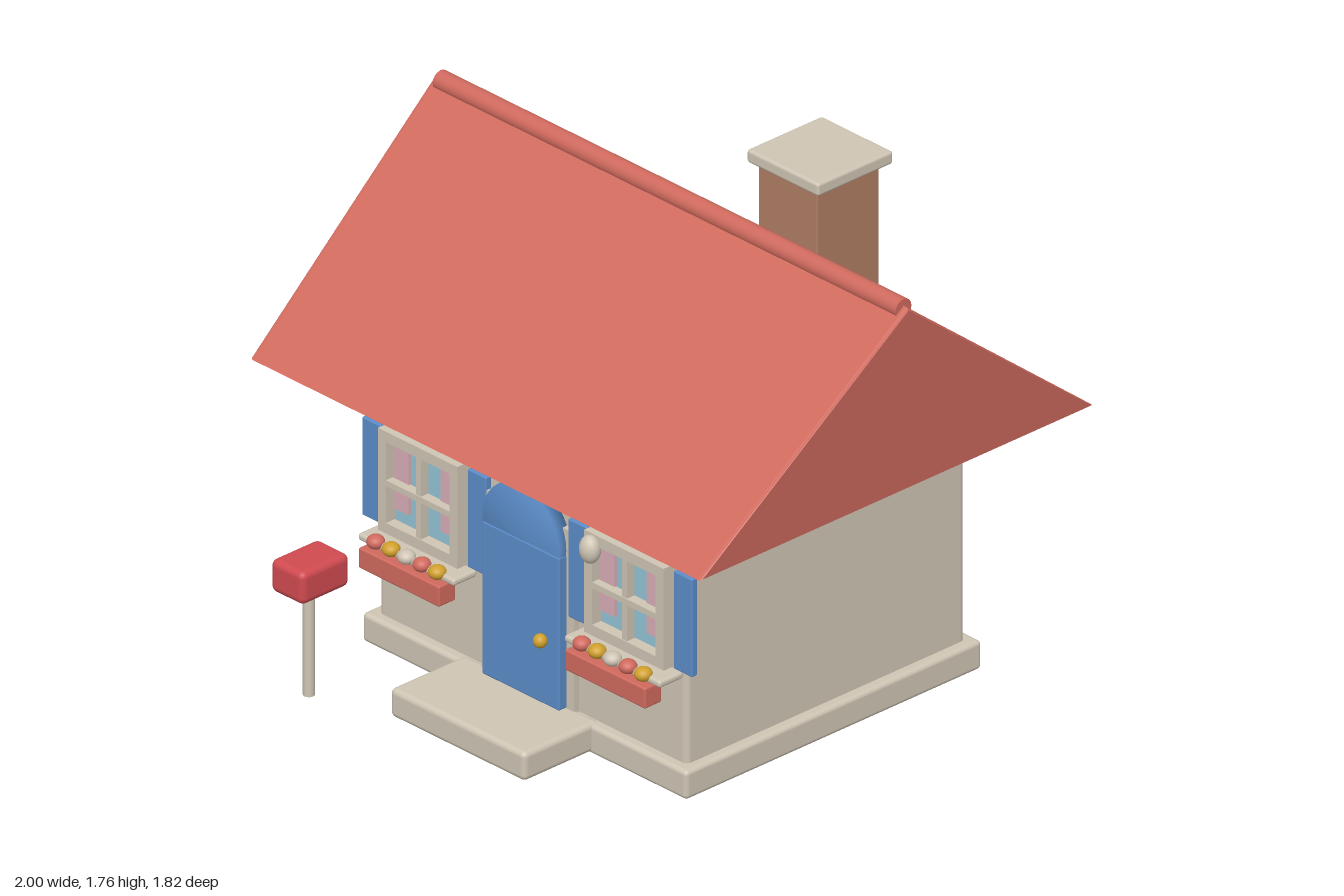
import * as THREE from 'three';
import { mergeVertices } from 'three/addons/utils/BufferGeometryUtils.js';
import { RoundedBoxGeometry } from 'three/addons/geometries/RoundedBoxGeometry.js';

const paint = (name, color) => {
  const m = new THREE.MeshStandardMaterial({ color });
  m.name = name;
  return m;
};

export function createModel() {
  const stone = paint('cream stone', 0xcfc5b4);
  const tile = paint('roof red', 0xd06a5e);
  const blue = paint('painted blue', 0x5b8cc8);
  const brick = paint('brick brown', 0xb07d63);
  const glass = paint('window glass', 0x93c4d6);
  const cloth = paint('curtain pink', 0xd8adb6);
  const gold = paint('golden yellow', 0xd0a02c);
  const crimson = paint('mailbox red', 0xd04a50);

  const house = new THREE.Group();
  house.name = 'cottage';

  const add = (parent, name, geometry, material, x = 0, y = 0, z = 0) => {
    const mesh = new THREE.Mesh(geometry, material);
    mesh.name = name;
    mesh.position.set(x, y, z);
    parent.add(mesh);
    return mesh;
  };
  // Box given by its limits on each axis, with optional rounded edges
  const box = (parent, name, material, [x0, x1], [y0, y1], [z0, z1], r = 0) => {
    const size = [x1 - x0, y1 - y0, z1 - z0];
    const geometry = r ? new RoundedBoxGeometry(...size, 3, r) : new THREE.BoxGeometry(...size);
    return add(parent, name, geometry, material, (x0 + x1) / 2, (y0 + y1) / 2, (z0 + z1) / 2);
  };
  const ball = (parent, name, material, x, y, z, rx, ry = rx, rz = rx) =>
    add(parent, name, new THREE.SphereGeometry(1, 20, 14), material, x, y, z).scale.set(rx, ry, rz);

  // Walls and ground slabs
  box(house, 'foundation', stone, [-0.685, 0.685], [0, 0.095], [-0.715, 0.475], 0.015);
  box(house, 'walls', stone, [-0.65, 0.65], [0.05, 0.92], [-0.68, 0.44], 0.02);
  box(house, 'doorstep', stone, [-0.285, 0.285], [0.005, 0.1], [0.44, 0.745], 0.018);

  // Solid gable roof, longer at the ridge than at the eaves
  const eave = 0.9, ridge = 1.53, ridgeZ = -0.12;
  const gable = new THREE.Shape([
    new THREE.Vector2(-0.91, eave), new THREE.Vector2(0.67, eave), new THREE.Vector2(ridgeZ, ridge),
  ]);
  const bevel = 0.012;
  const roof = new THREE.ExtrudeGeometry(gable, {
    depth: 2 - 2 * bevel, bevelThickness: bevel, bevelSize: bevel / 2, bevelOffset: -bevel / 2, bevelSegments: 2,
  });
  roof.translate(0, 0, bevel - 1).rotateY(-Math.PI / 2);
  const p = roof.attributes.position;
  for (let i = 0; i < p.count; i++) {
    const t = (p.getY(i) - eave) / (ridge - eave);
    p.setX(i, p.getX(i) * (0.95 + 0.05 * t));
  }
  roof.computeVertexNormals();
  add(house, 'roof', roof, tile);
  const cap = new THREE.CylinderGeometry(0.032, 0.032, 1.955, 16).rotateZ(Math.PI / 2);
  add(house, 'ridgeCap', cap, tile, 0, 1.52, ridgeZ);

  // Chimney
  box(house, 'chimney', brick, [0.305, 0.555], [1.1, 1.73], [-0.425, -0.175], 0.006);
  box(house, 'chimneyCap', stone, [0.28, 0.583], [1.722, 1.765], [-0.455, -0.152], 0.01);

  // Arched door with frame and knob
  const door = new THREE.Group();
  door.name = 'door';
  house.add(door);
  box(door, 'doorFrame', stone, [-0.195, 0.195], [0.09, 0.69], [0.43, 0.46]);
  box(door, 'doorPanel', blue, [-0.163, 0.163], [0.1, 0.605], [0.44, 0.49], 0.006);
  let arch = new THREE.CylinderGeometry(0.163, 0.163, 0.045, 40).rotateX(Math.PI / 2);
  arch.deleteAttribute('normal');
  arch.deleteAttribute('uv');
  arch = mergeVertices(arch);
  arch.computeVertexNormals();
  add(door, 'doorArch', arch, blue, 0, 0.62, 0.465);
  ball(door, 'doorKnob', gold, 0.1, 0.315, 0.505, 0.022);

  // Wall lamp beside the door
  ball(house, 'lamp', stone, 0.305, 0.695, 0.5, 0.035, 0.045, 0.031);

  // Windows with shutters, curtains and flower boxes
  const rect = (Type, w, h) => new Type([[-w, -h], [w, -h], [w, h], [-w, h]].map(([x, y]) => new THREE.Vector2(x, y)));
  const frameShape = rect(THREE.Shape, 0.168, 0.168);
  frameShape.holes.push(rect(THREE.Path, 0.134, 0.133));
  const frame = new THREE.ExtrudeGeometry(frameShape, { depth: 0.048, bevelEnabled: false });
  const petals = [tile, gold, stone, tile, gold];

  for (const side of [-1, 1]) {
    const w = new THREE.Group();
    w.name = side < 0 ? 'rightWindow' : 'leftWindow';
    w.position.x = side * 0.435;
    house.add(w);
    add(w, 'windowFrame', frame, stone, 0, 0.572, 0.44);
    box(w, 'pane', glass, [-0.135, 0.135], [0.438, 0.706], [0.444, 0.452]);
    for (const s of [-1, 1]) {
      box(w, 'curtain', cloth, [s * 0.1 - 0.033, s * 0.1 + 0.033], [0.48, 0.695], [0.452, 0.461]);
      box(w, 'shutter', blue, [s * 0.223 - 0.039, s * 0.223 + 0.039], [0.408, 0.732], [0.44, 0.464], 0.005);
    }
    box(w, 'mullion', stone, [-0.01, 0.01], [0.438, 0.706], [0.455, 0.485]);
    box(w, 'crossbar', stone, [-0.135, 0.135], [0.56, 0.58], [0.455, 0.488]);
    box(w, 'sill', stone, [-0.203, 0.203], [0.374, 0.398], [0.44, 0.537], 0.01);
    box(w, 'flowerBox', tile, [-0.17, 0.17], [0.305, 0.373], [0.497, 0.565], 0.006);
    petals.forEach((m, i) => ball(w, 'flower', m, (i - 2) * 0.065, 0.396, 0.533, 0.028, 0.022, 0.028));
  }

  // Mailbox on a post
  const mailbox = new THREE.Group();
  mailbox.name = 'mailbox';
  mailbox.position.set(-0.545, 0, 0.816);
  house.add(mailbox);
  add(mailbox, 'post', new THREE.CylinderGeometry(0.018, 0.018, 0.36, 16), stone, 0, 0.185, 0.005);
  box(mailbox, 'letterBox', crimson, [-0.07, 0.07], [0.352, 0.46], [-0.097, 0.097], 0.022);

  return house;
}
